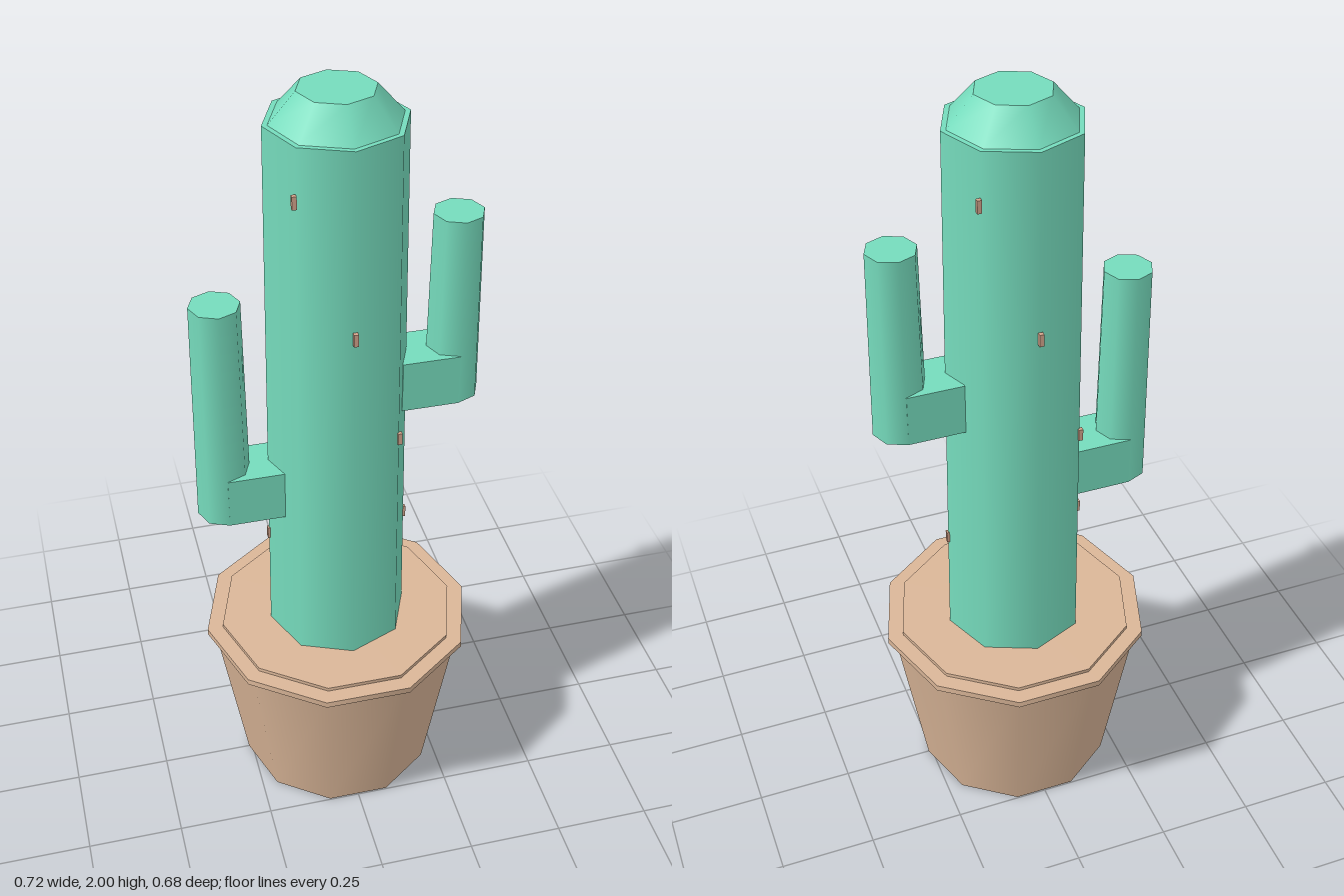
import * as THREE from 'three';

export function createModel() {
  const model = new THREE.Group();
  const mat = (name, color) => {
    const m = new THREE.MeshStandardMaterial({ color });
    m.name = name;
    return m;
  };
  const green = mat('cactusGreen', 0x76dcbd);
  const clay = mat('clay', 0xdab698);
  const thorn = mat('thorn', 0xd5a58c);

  const add = (name, geometry, material, x = 0, y = 0, z = 0, parent = model) => {
    const mesh = new THREE.Mesh(geometry, material);
    mesh.name = name;
    mesh.position.set(x, y, z);
    parent.add(mesh);
  };

  // Upright tapered prism from y0 to y1, with a corner on the x axis
  const prism = (name, material, rBottom, rTop, y0, y1, sides, x = 0, parent = model) => {
    const g = new THREE.CylinderGeometry(rTop, rBottom, y1 - y0, sides);
    g.rotateY(Math.PI / 2);
    add(name, g, material, x, (y0 + y1) / 2, 0, parent);
  };

  // Pot with ten sides
  prism('potBody', clay, 0.26, 0.337, 0, 0.467, 10);
  prism('potRim', clay, 0.357, 0.357, 0.465, 0.482, 10);
  prism('potFill', clay, 0.315, 0.315, 0.47, 0.492, 10);

  // Trunk and its capped top
  prism('trunk', green, 0.183, 0.168, 0.48, 1.928, 8);
  prism('trunkTop', green, 0.155, 0.092, 1.928, 2, 8);

  // Arms: a square elbow and an upright stem
  for (const [name, side, y0, y1] of [['leftArm', 1, 1.165, 1.663], ['rightArm', -1, 0.889, 1.495]]) {
    const arm = new THREE.Group();
    arm.name = name;
    model.add(arm);
    prism(name + 'Stem', green, 0.069, 0.062, y0, y1, 8, side * 0.292, arm);
    add(name + 'Elbow', new THREE.BoxGeometry(0.144, 0.136, 0.138), green, side * 0.22, y0 + 0.068, 0, arm);
  }

  // Thorns in opposite pairs, each pair an eighth of a turn further up the trunk
  const thornShape = new THREE.BoxGeometry(0.011, 0.032, 0.011);
  for (let i = 0; i < 4; i++) {
    for (const turn of [0, Math.PI]) {
      const a = (i * Math.PI) / 4 + turn;
      add('thorn', thornShape, thorn, 0.179 * Math.cos(a), 0.79 + 0.338 * i, 0.179 * Math.sin(a));
    }
  }
  return model;
}
